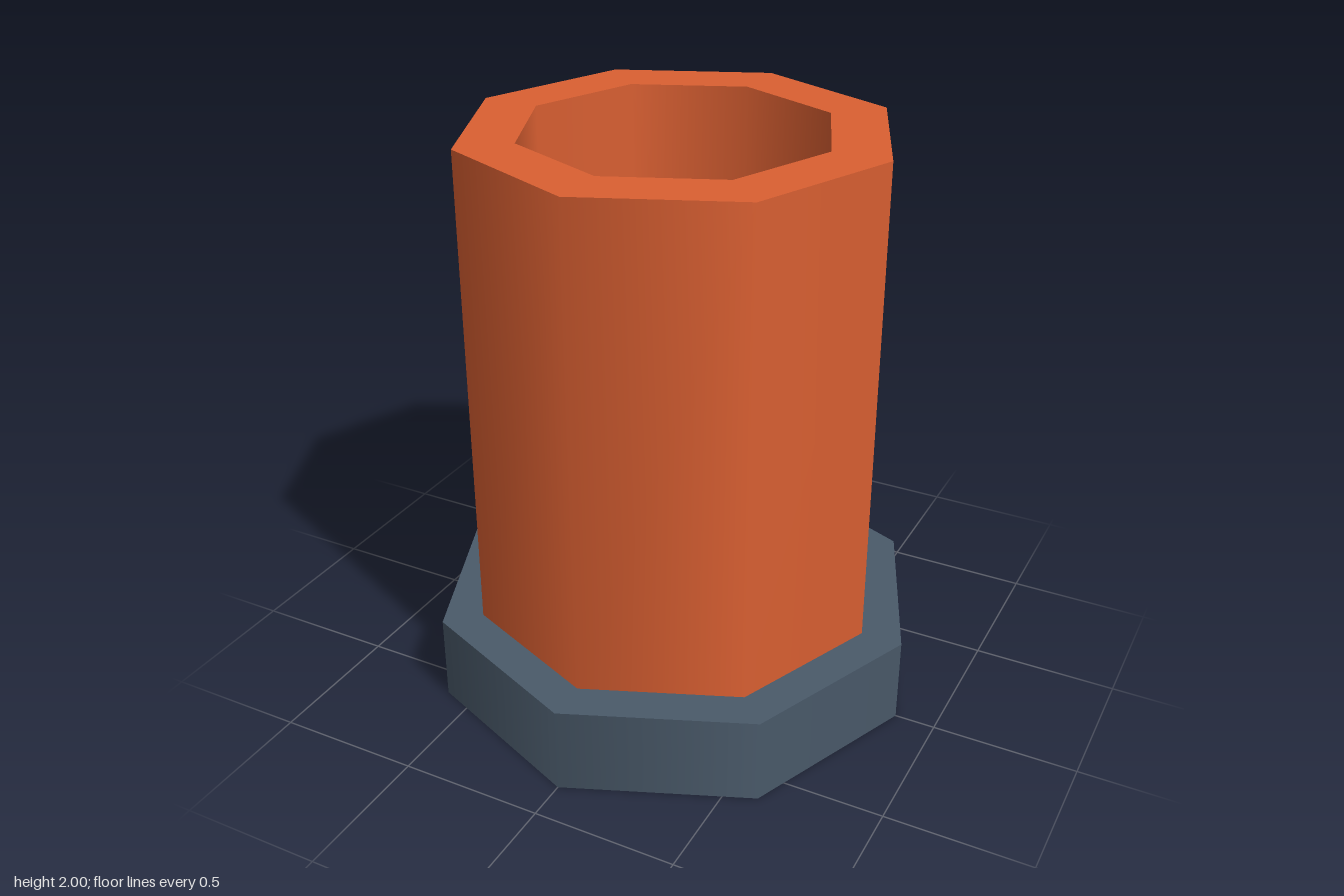
import * as THREE from 'three';

const SIDES = 8;

export function createModel() {
  const model = new THREE.Group();
  const orange = new THREE.MeshStandardMaterial({ color: 0xdb6032, side: THREE.DoubleSide });
  const slate = new THREE.MeshStandardMaterial({ color: 0x4a5a6a, side: THREE.DoubleSide });

  const add = (name, geometry, material, y) => {
    const mesh = new THREE.Mesh(geometry, material);
    mesh.name = name;
    mesh.position.y = y;
    model.add(mesh);
  };
  // open eight-sided wall from y0 to y1, smooth around
  const wall = (name, r, y0, y1, material) =>
    add(name, new THREE.CylinderGeometry(r, r, y1 - y0, SIDES, 1, true), material, (y0 + y1) / 2);
  // flat ring facing up or down
  const ring = (name, inner, outer, y, material, up = true) =>
    add(name, new THREE.RingGeometry(inner, outer, SIDES).rotateX(up ? -Math.PI / 2 : Math.PI / 2), material, y);

  // hollow base collar, open underneath
  wall('baseWall', 0.86, 0, 0.305, slate);
  ring('baseTop', 0.7, 0.86, 0.305, slate);

  // thick tube
  wall('tubeOuterWall', 0.716, 0.3, 2, orange);
  wall('tubeInnerWall', 0.52, 0.3, 2, orange);
  ring('tubeRim', 0.52, 0.716, 2, orange);
  ring('tubeBottom', 0.52, 0.716, 0.3, orange, false);

  // floor inside the bore
  add('tubeFloor', new THREE.CircleGeometry(0.52, SIDES).rotateX(-Math.PI / 2), slate, 0.335);

  return model;
}
